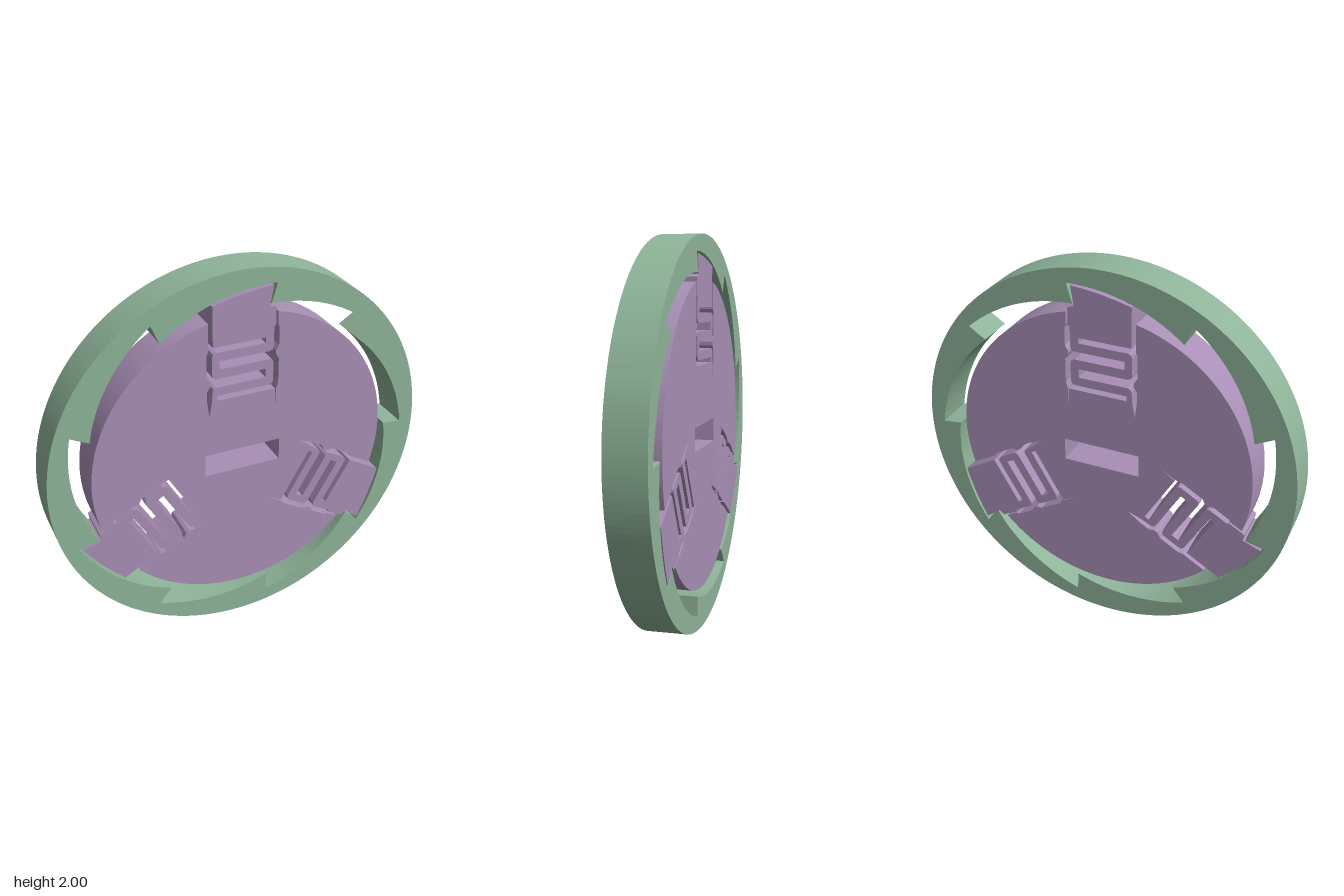
import * as THREE from 'three';

const DEPTH = 0.2;
const DEG = Math.PI / 180;
const polar = (r, deg) => new THREE.Vector2(r * Math.cos(deg * DEG), r * Math.sin(deg * DEG));

// Flat plate of the common thickness, centred on z = 0
function plate(name, shape, color) {
  const geometry = new THREE.ExtrudeGeometry(shape, { depth: DEPTH, bevelEnabled: false, curveSegments: 96 });
  geometry.translate(0, 0, -DEPTH / 2);
  const mesh = new THREE.Mesh(geometry, new THREE.MeshStandardMaterial({ color }));
  mesh.name = name;
  mesh.position.y = 1;
  return mesh;
}

// Outer ring: nine spiral ramps, each ending in a steep tooth
function ratchetRing() {
  const shape = new THREE.Shape().absarc(0, 0, 1, 0, Math.PI * 2, false);
  const inner = [];
  const steps = 14;
  for (let tooth = 0; tooth < 9; tooth++) {
    for (let i = 0; i <= steps; i++) {
      const t = i / steps;
      inner.push(polar(0.927 - 0.103 * t, tooth * 40 - 0.8 + 40.8 * t));
    }
  }
  shape.holes.push(new THREE.Path(inner));
  return plate('ratchetRing', shape, 0x8fb499);
}

// Outline of the upright pawl, followed counter-clockwise from the disc rim
const pawlOutline = [
  // right wall of the pocket, down to the relief cut
  [0.18, 0.766], [0.18, 0.70], [0.188, 0.685], [0.188, 0.59], [0.172, 0.563], [0.172, 0.545],
  [0.188, 0.52], [0.188, 0.39], [0.178, 0.36], [0.178, 0.27],
  // pocket floor and the right side of the serpentine spring
  [0.172, 0.358], [-0.135, 0.358], [-0.135, 0.385], [0.14, 0.385], [0.154, 0.391], [0.16, 0.405],
  [0.16, 0.504], [0.154, 0.518], [0.14, 0.524], [-0.123, 0.524], [-0.123, 0.567],
  [0.14, 0.567], [0.154, 0.573], [0.16, 0.587], [0.16, 0.69],
  // pawl head
  [0.17, 0.70], [0.17, 0.79], [0.136, 0.802], [0.154, 0.902], [0.08, 0.895], [0, 0.884],
  [-0.08, 0.867], [-0.155, 0.848],
  // left side of the spring
  [-0.155, 0.642], [0.118, 0.642], [0.118, 0.613], [-0.14, 0.613], [-0.154, 0.607], [-0.16, 0.593],
  [-0.16, 0.496], [-0.154, 0.482], [-0.14, 0.476], [0.118, 0.476], [0.118, 0.43],
  [-0.14, 0.43], [-0.154, 0.424], [-0.16, 0.41], [-0.163, 0.36], [-0.178, 0.275],
  // left wall of the pocket, back up to the rim
  [-0.188, 0.36], [-0.188, 0.415], [-0.17, 0.443], [-0.17, 0.463], [-0.188, 0.49],
  [-0.188, 0.605], [-0.178, 0.63], [-0.178, 0.767],
];

// Inner disc with three sprung pawls and a rectangular slot through the middle
function pawlDisc() {
  const outline = [];
  const rim = 0.787, halfGap = 13.15, steps = 36;
  for (let k = 0; k < 3; k++) {
    const turn = k * 120;
    for (const [x, y] of pawlOutline) {
      outline.push(new THREE.Vector2(x, y).rotateAround(new THREE.Vector2(), turn * DEG));
    }
    for (let i = 1; i < steps; i++) {
      outline.push(polar(rim, turn + 90 + halfGap + (120 - 2 * halfGap) * i / steps));
    }
  }
  const shape = new THREE.Shape(outline);
  const w = 0.203, h = 0.06;
  shape.holes.push(new THREE.Path([[-w, -h], [-w, h], [w, h], [w, -h]].map(p => new THREE.Vector2(...p))));
  return plate('pawlDisc', shape, 0xa98fb6);
}

export function createModel() {
  const model = new THREE.Group();
  model.name = 'ratchetMechanism';
  model.add(ratchetRing(), pawlDisc());
  return model;
}
